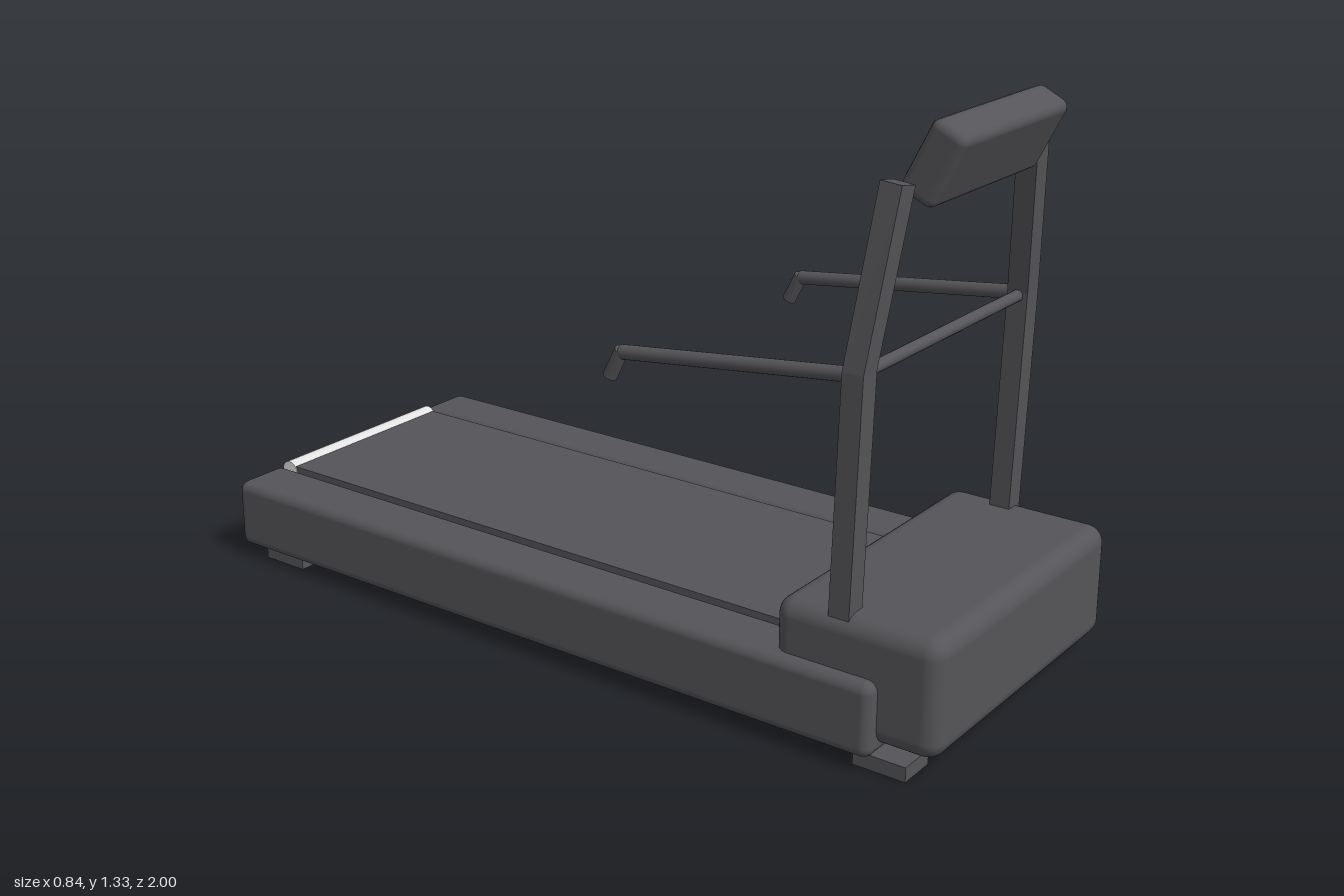
import * as THREE from 'three';
import { RoundedBoxGeometry } from 'three/addons/geometries/RoundedBoxGeometry.js';

export function createModel() {
  const model = new THREE.Group();
  model.name = 'treadmill';
  const dark = new THREE.MeshStandardMaterial({ color: 0x555559 });
  dark.name = 'dark grey';
  const light = new THREE.MeshStandardMaterial({ color: 0xe2e2e2 });
  light.name = 'light grey';

  const add = (name, geometry, x, y, z, material = dark, parent = model) => {
    const mesh = new THREE.Mesh(geometry, material);
    mesh.name = name;
    mesh.position.set(x, y, z);
    parent.add(mesh);
    return mesh;
  };

  // round bar between two points
  const bar = (name, a, b, radius, material = dark) => {
    const from = new THREE.Vector3(...a);
    const to = new THREE.Vector3(...b);
    const dir = to.clone().sub(from);
    const mid = from.clone().add(to).multiplyScalar(0.5);
    const mesh = add(name, new THREE.CylinderGeometry(radius, radius, dir.length(), 20), mid.x, mid.y, mid.z, material);
    mesh.quaternion.setFromUnitVectors(new THREE.Vector3(0, 1, 0), dir.normalize());
  };

  // square post bent inwards and forwards above the crossbar
  const postGeometry = (side) => {
    const g = new THREE.BoxGeometry(0.052, 2, 0.05, 1, 2, 1);
    const centres = [[0.35, 0.29, 0.754], [0.35, 0.84, 0.77], [0.288, 1.215, 0.805]];
    const p = g.attributes.position;
    for (let i = 0; i < p.count; i++) {
      const level = Math.round(p.getY(i)) + 1;
      const [cx, cy, cz] = centres[level];
      const dx = p.getX(i), dz = p.getZ(i);
      const tilt = level === 2 ? side * dx * 0.165 - dz * 0.093 : 0;
      p.setXYZ(i, side * cx + dx, cy + tilt, cz + dz);
    }
    const flat = g.toNonIndexed();
    flat.computeVertexNormals();
    return flat;
  };

  // base: motor housing, running deck, belt and rear roller
  add('motorHousing', new RoundedBoxGeometry(0.776, 0.27, 0.4, 5, 0.042), 0, 0.185, 0.8);
  add('deck', new THREE.BoxGeometry(0.52, 0.025, 1.61), 0, 0.1775, -0.155);
  add('belt', new THREE.BoxGeometry(0.52, 0.02, 1.545), 0, 0.19, -0.1925);
  bar('rearRoller', [-0.262, 0.185, -0.975], [0.262, 0.185, -0.975], 0.025, light);

  for (const side of [-1, 1]) {
    const label = side > 0 ? 'left' : 'right';
    // side rail with two feet
    add(label + 'Rail', new RoundedBoxGeometry(0.15, 0.17, 1.86, 4, 0.024), side * 0.345, 0.115, -0.07);
    add(label + 'FrontFoot', new THREE.BoxGeometry(0.094, 0.034, 0.126), side * 0.348, 0.017, 0.873);
    add(label + 'RearFoot', new THREE.BoxGeometry(0.094, 0.034, 0.126), side * 0.348, 0.017, -0.868);
    // upright and handle
    add(label + 'Post', postGeometry(side), 0, 0, 0);
    const x = side * 0.354;
    bar(label + 'Handle', [x, 0.832, 0.765], [x, 0.764, 0.182], 0.0165);
    bar(label + 'HandleEnd', [x, 0.768, 0.182], [x, 0.703, 0.149], 0.0165);
  }
  bar('crossbar', [-0.34, 0.832, 0.77], [0.34, 0.832, 0.77], 0.0135);

  // tilted console with a screen facing the runner
  const console = new THREE.Group();
  console.name = 'console';
  console.position.set(0, 1.243, 0.843);
  console.rotation.x = 0.47;
  model.add(console);
  add('consoleBody', new RoundedBoxGeometry(0.456, 0.172, 0.086, 4, 0.02), 0, 0, 0, dark, console);
  add('screen', new THREE.BoxGeometry(0.4, 0.134, 0.008), 0, 0.002, -0.044, dark, console);
  add('consoleStrip', new THREE.BoxGeometry(0.23, 0.005, 0.008), 0, -0.0685, -0.043, light, console);

  return model;
}
